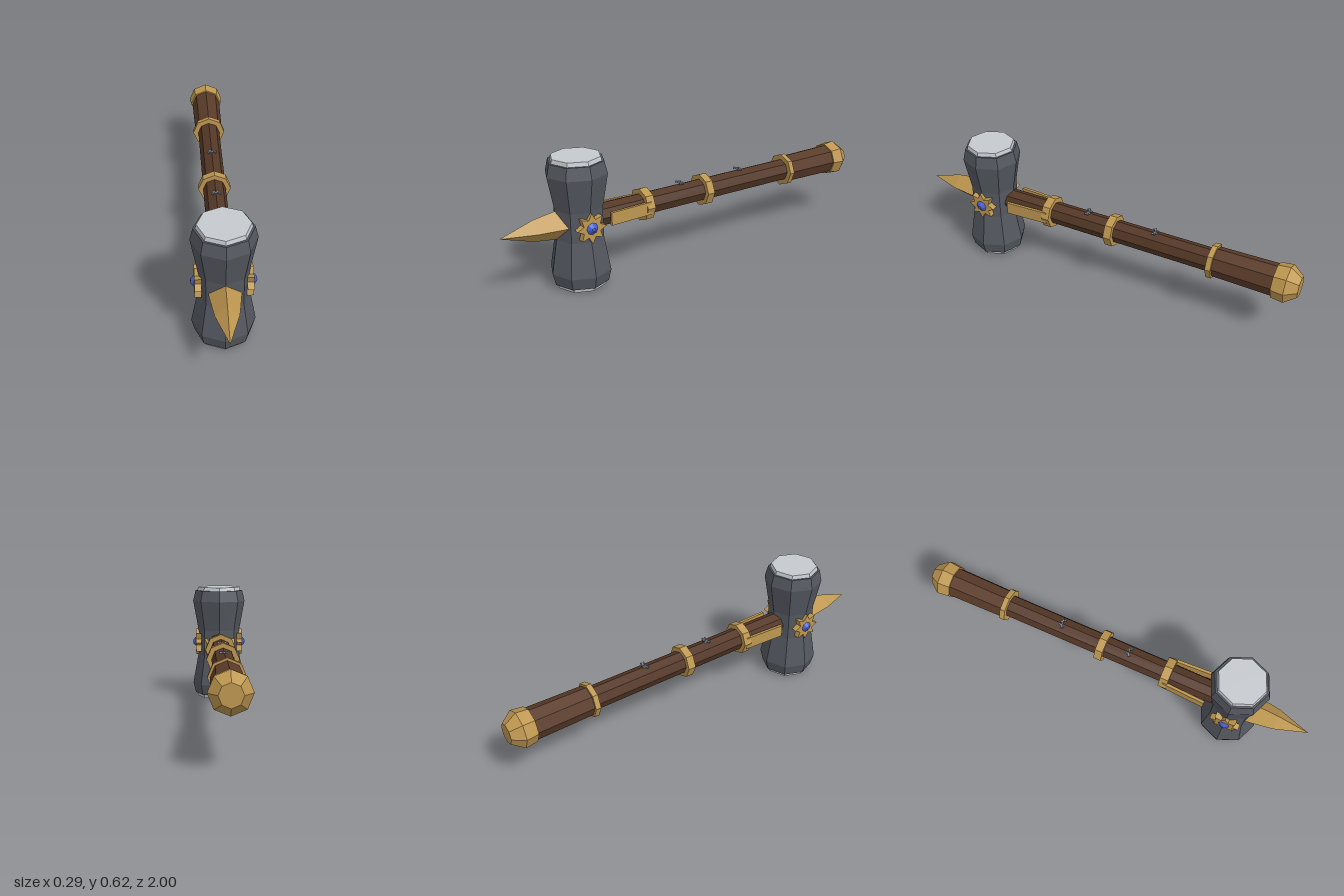
import * as THREE from 'three';

const paint = (name, color) => {
  const m = new THREE.MeshStandardMaterial({ color, flatShading: true });
  m.name = name;
  return m;
};

export function createModel() {
  const steel = paint('dark steel', 0x54585f);
  const silver = paint('pale silver', 0xc6cace);
  const gold = paint('gold', 0xbe9750);
  const wood = paint('dark wood', 0x543726);
  const leather = paint('grip leather', 0x5a3b29);
  const blue = paint('blue gem', 0x4660d0);
  const rune = paint('rune metal', 0x8e9aa8);

  const group = new THREE.Group();
  group.name = 'warHammer';
  const AXIS = 0.31; // height of the handle
  const HEAD = 0.62; // z of the head

  const add = (name, geometry, material, x = 0, y = 0, z = 0) => {
    const mesh = new THREE.Mesh(geometry, material);
    mesh.name = name;
    mesh.position.set(x, y, z);
    group.add(mesh);
    return mesh;
  };
  // faceted solid from [radius, height] pairs
  const turned = (pairs, sides = 8) =>
    new THREE.LatheGeometry(pairs.map(([r, h]) => new THREE.Vector2(r, h)), sides);
  // the same, lying along z on the handle axis
  const along = (name, pairs, material, sides = 8) =>
    add(name, turned(pairs, sides).rotateX(Math.PI / 2), material, 0, AXIS, 0);

  // Head: waisted octagonal block with a pale face at each end
  add('hammerHead', turned([
    [0, 0.02], [0.13, 0.02], [0.144, 0.077], [0.115, 0.24],
    [0.115, 0.38], [0.144, 0.54], [0.13, 0.598], [0, 0.598],
  ]), steel, 0, 0, HEAD);
  add('lowerFace', turned([[0, 0], [0.115, 0], [0.122, 0.025], [0, 0.025]]), silver, 0, 0, HEAD);
  add('upperFace', turned([[0, 0.592], [0.122, 0.592], [0.115, 0.617], [0, 0.617]]), silver, 0, 0, HEAD);

  // Four-sided front spike
  along('spike', [[0, 0.69], [0.072, 0.7], [0.067, 0.74], [0.052, 0.84], [0, 1]], gold, 4);

  // Handle, grip and pommel
  along('shaft', [[0, -0.6], [0.057, -0.6], [0.055, 0.56], [0, 0.56]], wood);
  along('grip', [[0, -0.9], [0.077, -0.9], [0.072, -0.59], [0, -0.59]], leather);
  along('pommel', [[0, -1], [0.05, -1], [0.091, -0.945], [0.084, -0.885], [0, -0.885]], gold);

  // Collars
  [[0.257, 0.299, 0.08], [-0.086, -0.047, 0.08], [-0.6, -0.574, 0.084]].forEach(([a, b, r]) =>
    along('collar', [[0, a], [r, a], [r, b], [0, b]], gold));

  // Eight-pointed sun outline
  const sun = new THREE.Shape();
  for (let i = 0; i < 16; i++) {
    const r = i % 2 ? 0.044 : 0.072;
    const a = (i / 16) * Math.PI * 2;
    sun[i ? 'lineTo' : 'moveTo'](r * Math.cos(a), r * Math.sin(a));
  }
  sun.closePath();

  for (const side of [1, -1]) {
    // Langet from the first collar to the head
    const langet = add('langet', new THREE.BoxGeometry(0.014, 0.062, 0.22), gold,
      side * 0.07, AXIS, 0.385);
    langet.rotation.y = side * 0.05;

    // Sun emblem with gem
    const emblem = new THREE.ExtrudeGeometry(sun, { depth: 0.03, bevelEnabled: false });
    emblem.rotateY(side * Math.PI / 2);
    add('sunEmblem', emblem, gold, side * 0.098, AXIS, HEAD);
    const gem = turned([[0, 0], [0.028, 0], [0.009, 0.016], [0, 0.016]]);
    gem.rotateZ(-side * Math.PI / 2);
    add('gem', gem, blue, side * 0.128, AXIS, HEAD);
  }

  // Small runes on top of the shaft
  for (const z of [0.07, -0.287]) {
    [[0, 0, 0.05, 0.2], [-0.012, 0, 0.03, 1.2], [0.013, 0, 0.03, -0.9]].forEach(([x, dz, length, turn]) => {
      const bar = add('rune', new THREE.BoxGeometry(length, 0.008, 0.006), rune, x, 0.373, z + dz);
      bar.rotation.y = turn;
    });
  }
  return group;
}
